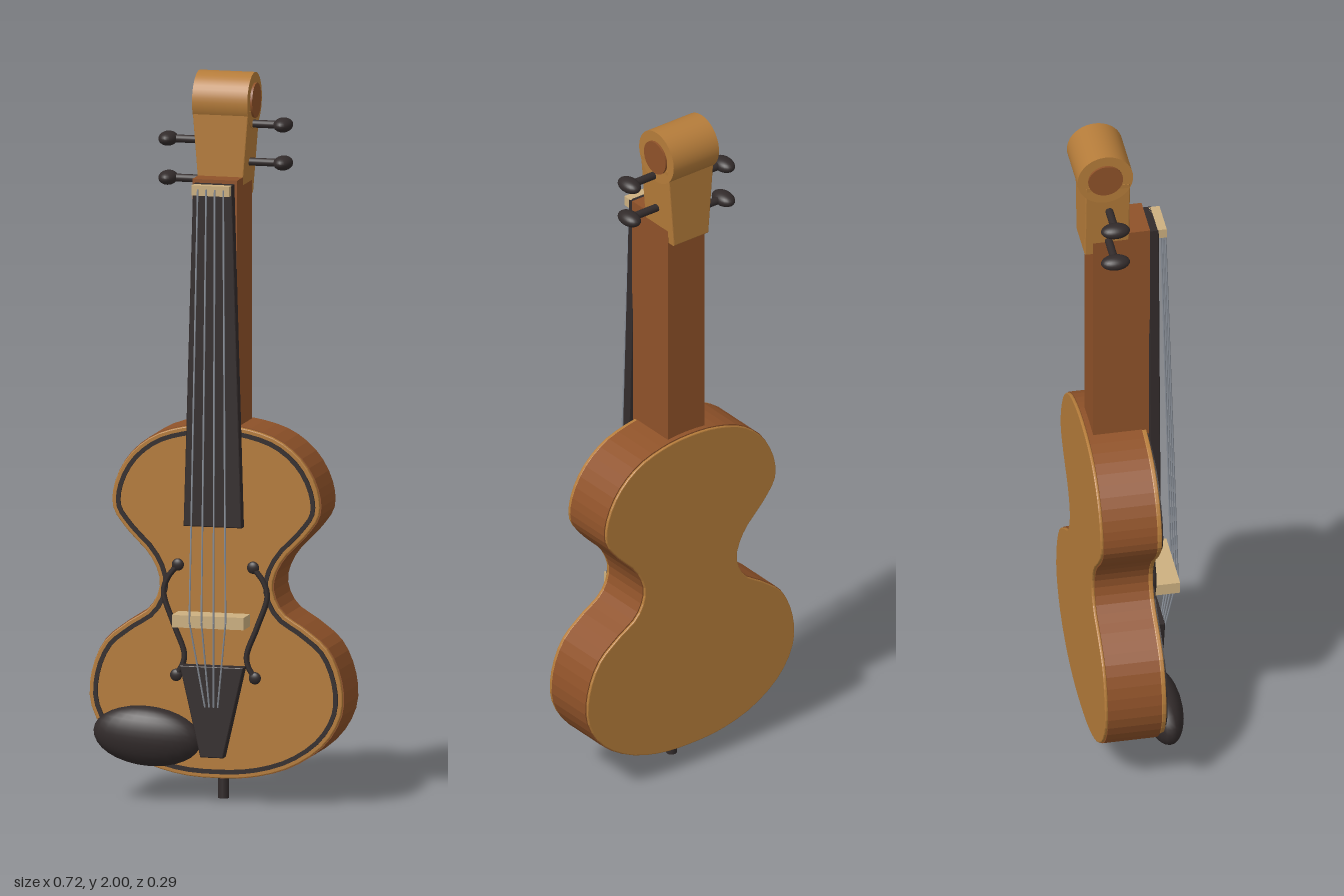
import * as THREE from 'three';

const material = (name, color) => Object.assign(new THREE.MeshStandardMaterial({ color }), { name });

export function createModel() {
  const model = new THREE.Group();
  model.name = 'violin';
  const ribWood = material('reddish brown wood', 0x8f5229);
  const plateWood = material('golden wood', 0xb57c3a);
  const ebony = material('ebony', 0x322b2b);
  const paleWood = material('pale maple', 0xccb080);
  const steel = material('string steel', 0x8a9099);

  const add = (name, geometry, mat, x = 0, y = 0, z = 0) => {
    const mesh = new THREE.Mesh(geometry, mat);
    mesh.name = name;
    mesh.position.set(x, y, z);
    model.add(mesh);
    return mesh;
  };
  const box = (name, w, h, d, mat, x, y, z) => add(name, new THREE.BoxGeometry(w, h, d), mat, x, y, z);

  // Extrudes an outline between two depths, with an optional small bevel
  const slab = (name, points, z0, z1, mat, bevel = 0, hole = null) => {
    const shape = new THREE.Shape(points);
    if (hole) shape.holes.push(new THREE.Path(hole));
    const geometry = new THREE.ExtrudeGeometry(shape, {
      depth: z1 - z0 - 2 * bevel, bevelEnabled: bevel > 0, bevelSize: bevel,
      bevelThickness: bevel, bevelOffset: -bevel, bevelSegments: 2,
    });
    return add(name, geometry, mat, 0, 0, z0 + bevel);
  };
  const trapezoid = (y0, w0, y1, w1) =>
    [[-w0, y0], [w0, y0], [w1, y1], [-w1, y1]].map(([x, y]) => new THREE.Vector2(x, y));

  // Straight rod between two points
  const rod = (name, a, b, radius, mat, sides = 8) => {
    const dir = b.clone().sub(a);
    const mesh = add(name, new THREE.CylinderGeometry(radius, radius, dir.length(), sides), mat);
    mesh.position.copy(a).add(b).multiplyScalar(0.5);
    mesh.quaternion.setFromUnitVectors(new THREE.Vector3(0, 1, 0), dir.normalize());
    return mesh;
  };
  const ball = (name, rx, ry, rz, mat, x, y, z) => {
    const mesh = add(name, new THREE.SphereGeometry(1, 24, 16), mat, x, y, z);
    mesh.scale.set(rx, ry, rz);
    return mesh;
  };

  // Body outline: right half from bottom to top, mirrored
  const half = [[0, 0.065], [0.11, 0.073], [0.22, 0.108], [0.31, 0.175], [0.355, 0.26],
    [0.352, 0.35], [0.315, 0.435], [0.25, 0.49], [0.185, 0.535], [0.16, 0.6], [0.185, 0.67],
    [0.25, 0.74], [0.291, 0.80], [0.289, 0.865], [0.25, 0.945], [0.18, 1.005], [0.09, 1.035], [0, 1.043]];
  const mirrored = half.slice(1, -1).reverse().map(([x, y]) => [-x, y]);
  const curve = new THREE.CatmullRomCurve3(
    [...half, ...mirrored].map(([x, y]) => new THREE.Vector3(x, y, 0)), true);
  const outline = (inset) => Array.from({ length: 96 }, (_, i) => {
    const p = curve.getPoint(i / 96), t = curve.getTangent(i / 96);
    return new THREE.Vector2(p.x - t.y * inset, p.y + t.x * inset);
  });

  slab('ribs', outline(0), -0.111, 0.038, ribWood);
  slab('backPlate', outline(0.002), -0.12, -0.111, plateWood, 0.003);
  slab('topPlate', outline(0.002), 0.038, 0.051, plateWood, 0.003);
  slab('purfling', outline(0.014), 0.05, 0.056, ebony, 0, outline(0.026));

  // Neck, fingerboard and nut
  box('neck', 0.126, 0.72, 0.158, ribWood, 0, 1.36, -0.018);
  slab('fingerboard', trapezoid(0.765, 0.082, 1.71, 0.055), 0.058, 0.087, ebony, 0.003);
  box('nut', 0.106, 0.028, 0.03, paleWood, 0, 1.696, 0.094);

  // Pegbox and scroll
  slab('pegbox', trapezoid(1.66, 0.06, 1.9, 0.079), -0.12, 0.003, plateWood, 0.003);
  const scroll = add('scroll', new THREE.CylinderGeometry(0.077, 0.077, 0.156, 40), plateWood, 0, 1.923, -0.066);
  scroll.rotation.z = Math.PI / 2;
  const eye = add('scrollEye', new THREE.CylinderGeometry(0.048, 0.048, 0.168, 32), ribWood, 0, 1.923, -0.066);
  eye.rotation.z = Math.PI / 2;

  // Tuning pegs, staggered left and right
  for (const [side, y] of [[1, 1.86], [1, 1.755], [-1, 1.81], [-1, 1.702]]) {
    rod('pegShaft', new THREE.Vector3(side * 0.04, y, -0.054),
      new THREE.Vector3(side * 0.15, y, -0.054), 0.011, ebony, 16);
    ball('pegKnob', 0.026, 0.02, 0.04, ebony, side * 0.162, y, -0.054);
  }

  // Bridge, tailpiece, chin rest and end pin
  box('bridge', 0.202, 0.034, 0.07, paleWood, 0, 0.51, 0.102);
  slab('tailpiece', trapezoid(0.13, 0.032, 0.382, 0.09), 0.063, 0.098, ebony, 0.003);
  const rest = ball('chinRest', 0.152, 0.082, 0.053, ebony, -0.188, 0.179, 0.07);
  rest.rotation.z = -0.08;
  rod('endPin', new THREE.Vector3(0, 0, -0.032), new THREE.Vector3(0, 0.09, -0.032), 0.015, ebony, 16);

  // Sound holes
  for (const side of [1, -1]) {
    const path = [[0.106, 0.653], [0.135, 0.615], [0.146, 0.575], [0.118, 0.49], [0.088, 0.41], [0.092, 0.38], [0.111, 0.348]]
      .map(([x, y]) => new THREE.Vector3(side * x, y, 0.055));
    add('soundHole', new THREE.TubeGeometry(new THREE.CatmullRomCurve3(path), 40, 0.008, 8), ebony);
    for (const end of [path[0], path[path.length - 1]])
      ball('soundHoleEnd', 0.017, 0.017, 0.01, ebony, end.x, end.y, 0.055);
  }

  // Strings run over the nut and bridge to the tailpiece
  for (let i = 0; i < 4; i++) {
    const s = (i - 1.5) / 1.5;
    const nut = new THREE.Vector3(s * 0.036, 1.7, 0.108);
    const bridge = new THREE.Vector3(s * 0.051, 0.51, 0.14);
    const tail = new THREE.Vector3(s * 0.018, 0.27, 0.099);
    rod('string', nut, bridge, 0.0025, steel);
    rod('stringEnd', bridge, tail, 0.0025, steel);
  }
  return model;
}
